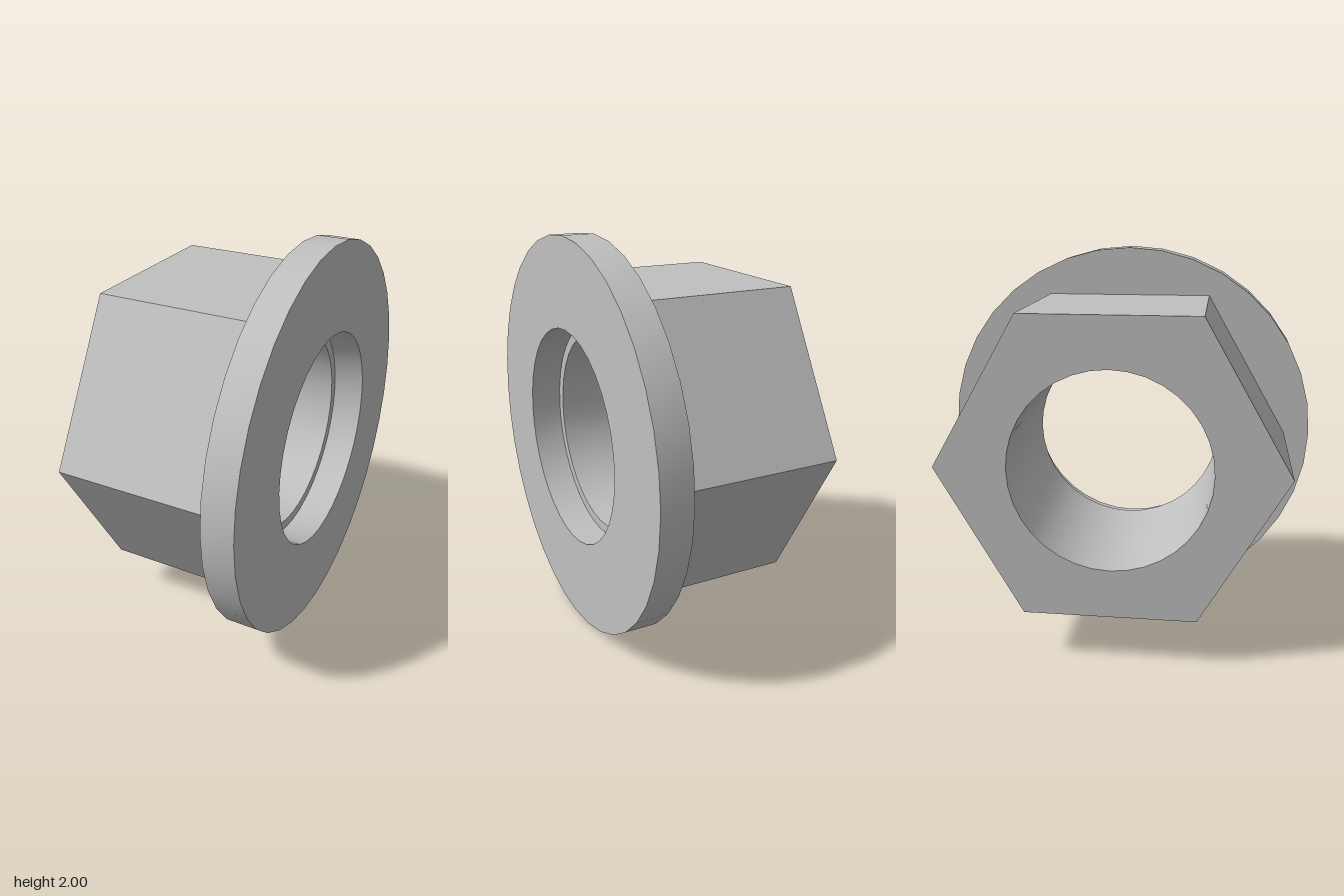
import * as THREE from 'three';
import { toCreasedNormals } from 'three/addons/utils/BufferGeometryUtils.js';

const SIDES = 36;

// Regular polygon with its first corner on the horizontal axis
function ring(radius, sides) {
  return Array.from({ length: sides }, (_, i) => {
    const a = (i / sides) * Math.PI * 2;
    return new THREE.Vector2(radius * Math.cos(a), radius * Math.sin(a));
  });
}

// Polygonal prism with a round bore, running along x from x0 to x1
function boredPrism(name, radius, sides, bore, x0, x1, material) {
  const shape = new THREE.Shape(ring(radius, sides));
  shape.holes.push(new THREE.Path(ring(bore, SIDES).reverse()));
  const prism = new THREE.ExtrudeGeometry(shape, { depth: x1 - x0, bevelEnabled: false });
  prism.rotateY(Math.PI / 2);
  prism.translate(x0, 1, 0);
  const mesh = new THREE.Mesh(toCreasedNormals(prism, 0.6), material);
  mesh.name = name;
  return mesh;
}

export function createModel() {
  const steel = new THREE.MeshStandardMaterial({ color: 0xc0c0c0 });
  steel.name = 'steel grey';

  const group = new THREE.Group();
  group.name = 'flangedHexNut';
  // Hexagonal body with the narrower bore
  group.add(boredPrism('hexBody', 0.866, 6, 0.5, -0.5, 0.34, steel));
  // Round flange; its wider bore leaves a small ledge inside
  group.add(boredPrism('flange', 1, SIDES, 0.55, 0.34, 0.5, steel));
  return group;
}
